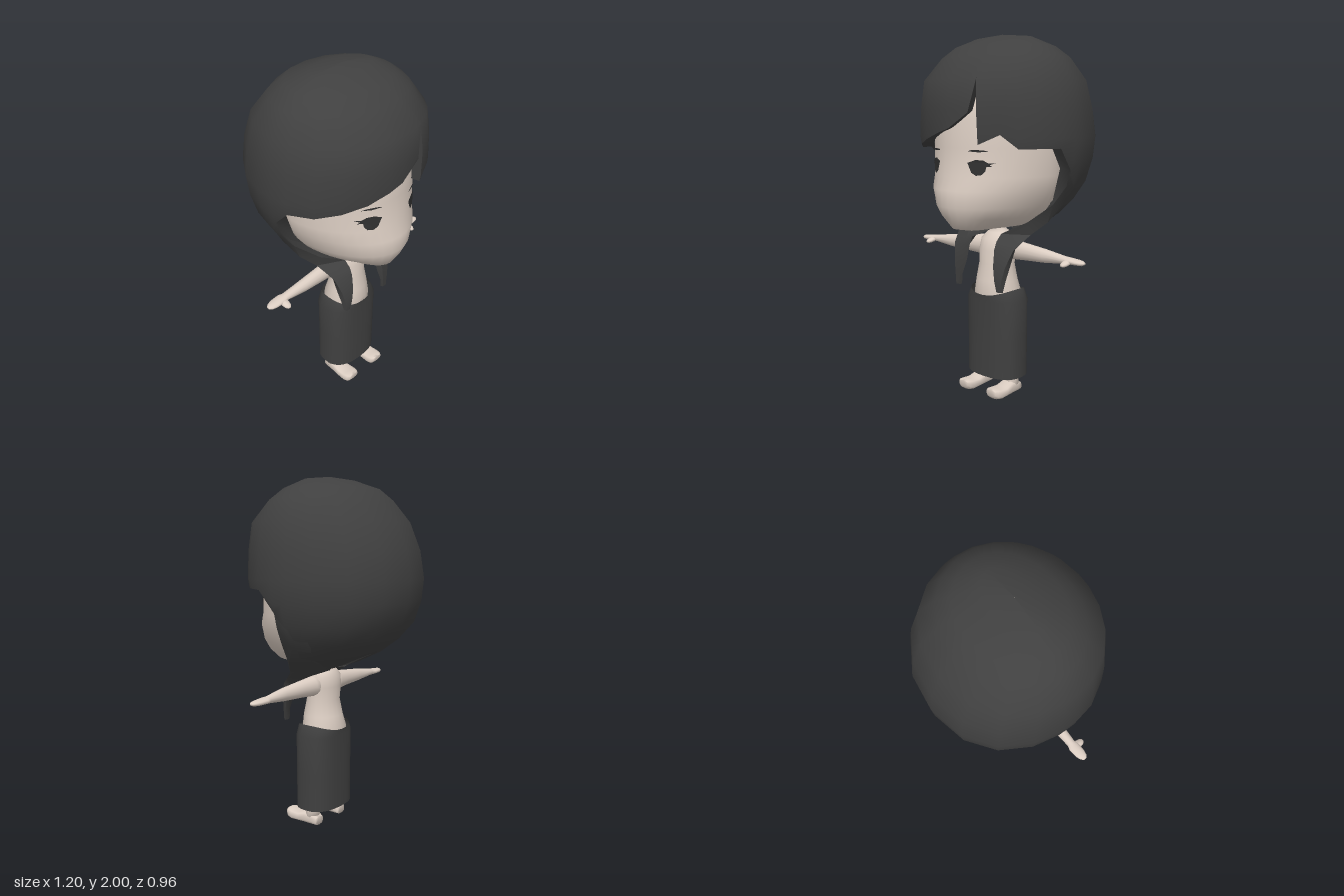
import * as THREE from 'three';
import { toCreasedNormals } from 'three/addons/utils/BufferGeometryUtils.js';

const skin = new THREE.MeshStandardMaterial({ color: 0xdccec3, side: THREE.DoubleSide });
skin.name = 'skin';
const dark = new THREE.MeshStandardMaterial({ color: 0x404040, side: THREE.DoubleSide });
dark.name = 'charcoal';
const ink = new THREE.MeshStandardMaterial({ color: 0x303030, side: THREE.DoubleSide });
ink.name = 'eyeInk';

// Joins closed rings of points, bottom ring first
function loft(rings, caps = false) {
  const n = rings[0].length, pos = rings.flat(2), idx = [];
  for (let j = 0; j < rings.length - 1; j++) {
    for (let i = 0; i < n; i++) {
      const a = j * n + i, b = j * n + (i + 1) % n;
      idx.push(a, b, b + n, a, b + n, a + n);
    }
  }
  if (caps) {
    const top = (rings.length - 1) * n;
    for (let i = 1; i < n - 1; i++) idx.push(0, i + 1, i, top, top + i, top + i + 1);
  }
  const g = new THREE.BufferGeometry();
  g.setAttribute('position', new THREE.Float32BufferAttribute(pos, 3));
  g.setIndex(idx);
  g.computeVertexNormals();
  return g;
}

// Linear reading of a profile table whose first column is y
function sample(table, y) {
  let k = 0;
  while (k < table.length - 2 && y > table[k + 1][0]) k++;
  const a = table[k], b = table[k + 1];
  const t = THREE.MathUtils.clamp((y - a[0]) / (b[0] - a[0]), 0, 1);
  return a.map((v, i) => v + (b[i] - v) * t);
}

const signedPow = (v, p) => Math.sign(v) * Math.abs(v) ** p;

// Point on a rounded section [y, half width, front z, back z]
function sectionPoint([y, rx, zf, zb], a, zc = (zf + zb) / 2, px = 1, pz = 1) {
  const c = Math.cos(a);
  return [rx * signedPow(Math.sin(a), px), y, zc + (c > 0 ? zf - zc : zc - zb) * signedPow(c, pz)];
}

function body(table, segs = 20, caps = true, zc, px, pz) {
  return loft(table.map(row => Array.from({ length: segs }, (_, i) =>
    sectionPoint(row, i / segs * Math.PI * 2, zc, px, pz))), caps);
}

function flipFaces(g) {
  const ix = g.index.array;
  for (let i = 0; i < ix.length; i += 3) [ix[i], ix[i + 1]] = [ix[i + 1], ix[i]];
  g.computeVertexNormals();
  return g;
}

const FACE = [[0.95, 0.06, 0.32, 0], [0.97, 0.17, 0.42, -0.04], [1.03, 0.27, 0.455, -0.13],
  [1.09, 0.315, 0.48, -0.2], [1.18, 0.355, 0.48, -0.27], [1.25, 0.37, 0.45, -0.3],
  [1.4, 0.38, 0.44, -0.33], [1.55, 0.38, 0.435, -0.33], [1.73, 0.35, 0.4, -0.28], [1.85, 0.2, 0.22, -0.1]];
const FACE_POW = 1.15;

const HAIR = [[0.93, 0.07, 0.1, 0], [0.97, 0.2, 0.2, -0.11], [1.03, 0.33, 0.3, -0.23],
  [1.11, 0.395, 0.38, -0.34], [1.21, 0.452, 0.42, -0.43], [1.33, 0.485, 0.45, -0.47],
  [1.45, 0.5, 0.47, -0.48], [1.6, 0.485, 0.473, -0.455], [1.75, 0.46, 0.455, -0.39],
  [1.87, 0.38, 0.345, -0.29], [1.93, 0.3, 0.27, -0.22], [1.98, 0.19, 0.14, -0.07], [2, 0.001, 0.051, 0.049]];

// Hem of the hair: [angle from the front in degrees, height]
const HEM = [[-95, 1.1], [-90, 1.28], [-76, 1.38], [-57, 1.385], [-40, 1.41], [-24, 1.44], [-10, 1.475],
  [0, 1.5], [15, 1.58], [20.5, 1.75], [20.8, 1.42], [35, 1.47], [46, 1.4], [60, 1.4], [76, 1.4],
  [90, 1.28], [95, 1.1], [99, 0.93], [115, 0.93], [136, 0.93], [158, 0.95], [180, 1.04],
  [202, 0.95], [224, 0.93], [245, 0.93], [261, 0.93]];

function hairGeometry() {
  const at = (deg, y) => {
    const p = deg > 90 && deg < 270 ? 0.92 : 1;
    return sectionPoint(sample(HAIR, y), deg * Math.PI / 180, 0.05, p, p);
  };
  const lip = HEM.map(([deg, hem]) => {
    const [x, y, z] = at(deg, hem);
    return [x * 0.85, y + 0.01, 0.05 + (z - 0.05) * 0.85];
  });
  const rings = HAIR.map(([y]) => HEM.map(([deg, hem]) => at(deg, Math.max(y, hem))));
  return toCreasedNormals(loft([lip, ...rings]), 0.8);
}

// Side lock sections: y, then x z of the front edge, the outside and the back edge
const LOCK = [[0.62, 0.14, 0.262, 0.165, 0.262, 0.172, 0.245], [0.68, 0.13, 0.268, 0.172, 0.26, 0.182, 0.235],
  [0.76, 0.122, 0.268, 0.19, 0.248, 0.197, 0.215], [0.85, 0.115, 0.25, 0.218, 0.215, 0.2, 0.175],
  [0.89, 0.113, 0.23, 0.24, 0.17, 0.19, 0.1], [0.93, 0.12, 0.2, 0.265, 0.125, 0.1, 0.0],
  [1.0, 0.26, 0.15, 0.338, 0.07, 0.27, -0.05], [1.1, 0.38, 0.08, 0.393, 0.0, 0.365, -0.1],
  [1.2, 0.447, 0.055, 0.447, 0.0, 0.42, -0.1], [1.3, 0.472, 0.055, 0.472, 0.0, 0.44, -0.1]];

function lockGeometry() {
  return toCreasedNormals(loft(LOCK.map(([y, fx, fz, mx, mz, bx, bz]) => {
    const t = y < 0.7 ? 0.015 : 0.035;
    return [[fx, y, fz], [fx - t * 0.4, y, fz - t], [bx - t, y, bz - t * 0.2], [bx, y, bz], [mx, y, mz]];
  }), true), 0.8);
}

// Lays a flat outline onto the front of the face
function facePlate(points, side) {
  const g = new THREE.ShapeGeometry(new THREE.Shape(points.map(([x, y]) => new THREE.Vector2(x * side, y))));
  const p = g.attributes.position;
  for (let i = 0; i < p.count; i++) {
    const row = sample(FACE, p.getY(i));
    p.setZ(i, sectionPoint(row, Math.asin(p.getX(i) / row[1]), 0.05, 1, FACE_POW)[2] + 0.007);
  }
  g.computeVertexNormals();
  return g;
}

export function createModel() {
  const model = new THREE.Group();
  const add = (name, geo, mat) => {
    const m = new THREE.Mesh(geo, mat);
    m.name = name;
    model.add(m);
  };
  const addPair = (name, geo, mat) => {
    const other = geo.clone().scale(-1, 1, 1);
    add(name + 'Left', geo, mat);
    add(name + 'Right', geo.index ? flipFaces(other) : other, mat);
  };

  // Head and hair
  add('head', body(FACE, 40, true, 0.05, 1, FACE_POW), skin);
  add('hair', hairGeometry(), dark);
  addPair('sideLock', lockGeometry(), dark);

  // Eyes with lashes, and brows
  const eye = [[0.1, 1.327], [0.112, 1.3], [0.122, 1.277], [0.145, 1.262], [0.17, 1.266], [0.186, 1.285],
    [0.19, 1.308], [0.215, 1.307], [0.203, 1.316], [0.226, 1.327], [0.2, 1.325], [0.175, 1.34], [0.14, 1.342]];
  const brow = [[0.1, 1.385], [0.15, 1.381], [0.2, 1.383], [0.18, 1.39], [0.15, 1.392], [0.115, 1.391]];
  for (const s of [1, -1]) {
    const end = s > 0 ? 'Left' : 'Right';
    add('eye' + end, facePlate(eye, s), ink);
    add('brow' + end, facePlate(brow, s), ink);
  }

  // Torso and neck
  add('torso', body([[0.5, 0.14, 0.21, -0.025], [0.58, 0.138, 0.215, -0.03], [0.65, 0.122, 0.21, -0.01],
    [0.74, 0.108, 0.19, 0.01], [0.82, 0.112, 0.185, 0.002], [0.88, 0.108, 0.165, 0.005],
    [0.915, 0.075, 0.13, 0.025], [0.935, 0.04, 0.11, 0.04], [1.0, 0.038, 0.11, 0.04]]), skin);

  // Skirt with a waistline that dips at front and back
  const skirt = body([[0.1, 0.18, 0.222, -0.03], [0.32, 0.18, 0.222, -0.03], [0.54, 0.18, 0.224, -0.034],
    [0.605, 0.146, 0.228, -0.038]], 28, false, undefined, 0.8, 0.8);
  const sp = skirt.attributes.position;
  for (let i = 0; i < sp.count; i++) {
    if (sp.getY(i) > 0.6) sp.setY(i, 0.605 - 0.03 * (1 - (sp.getX(i) / 0.146) ** 2));
  }
  skirt.computeVertexNormals();
  add('skirt', skirt, dark);

  // Arms reach sideways: distance along the arm, half height, front z, back z
  const arm = body([[0.05, 0.06, 0.14, 0.04], [0.12, 0.057, 0.14, 0.045], [0.2, 0.049, 0.138, 0.06],
    [0.35, 0.037, 0.135, 0.07], [0.48, 0.02, 0.125, 0.075], [0.505, 0.018, 0.134, 0.066],
    [0.56, 0.015, 0.132, 0.07], [0.585, 0.013, 0.126, 0.08], [0.6, 0.006, 0.114, 0.092]], 14);
  arm.rotateZ(-Math.PI / 2);
  const ap = arm.attributes.position;
  for (let i = 0; i < ap.count; i++) ap.setY(i, ap.getY(i) + 0.835 - 0.03 * ap.getX(i));
  arm.computeVertexNormals();
  addPair('arm', arm, skin);
  addPair('thumb', new THREE.SphereGeometry(1, 10, 8).scale(0.024, 0.014, 0.042)
    .rotateX(0.25).translate(0.505, 0.812, 0.132), skin);

  // Legs and feet
  addPair('leg', body([[0.03, 0.044, 0.14, 0.055], [0.09, 0.043, 0.135, 0.06], [0.3, 0.052, 0.145, 0.045],
    [0.52, 0.06, 0.155, 0.035]], 14).translate(0.107, 0, 0), skin);
  const foot = body([[0.05, 0.036, 0.05, 0.0], [0.08, 0.043, 0.07, 0.0], [0.13, 0.046, 0.072, 0.0],
    [0.18, 0.05, 0.055, 0.002], [0.23, 0.052, 0.06, 0.0], [0.258, 0.046, 0.064, 0.006],
    [0.272, 0.034, 0.06, 0.024]], 14, true, undefined, 0.7, 0.7);
  // Turn the profile so that it runs towards the toes
  foot.rotateX(Math.PI / 2).scale(1, -1, 1).translate(0.107, 0, 0);
  addPair('foot', flipFaces(foot), skin);

  return model;
}
